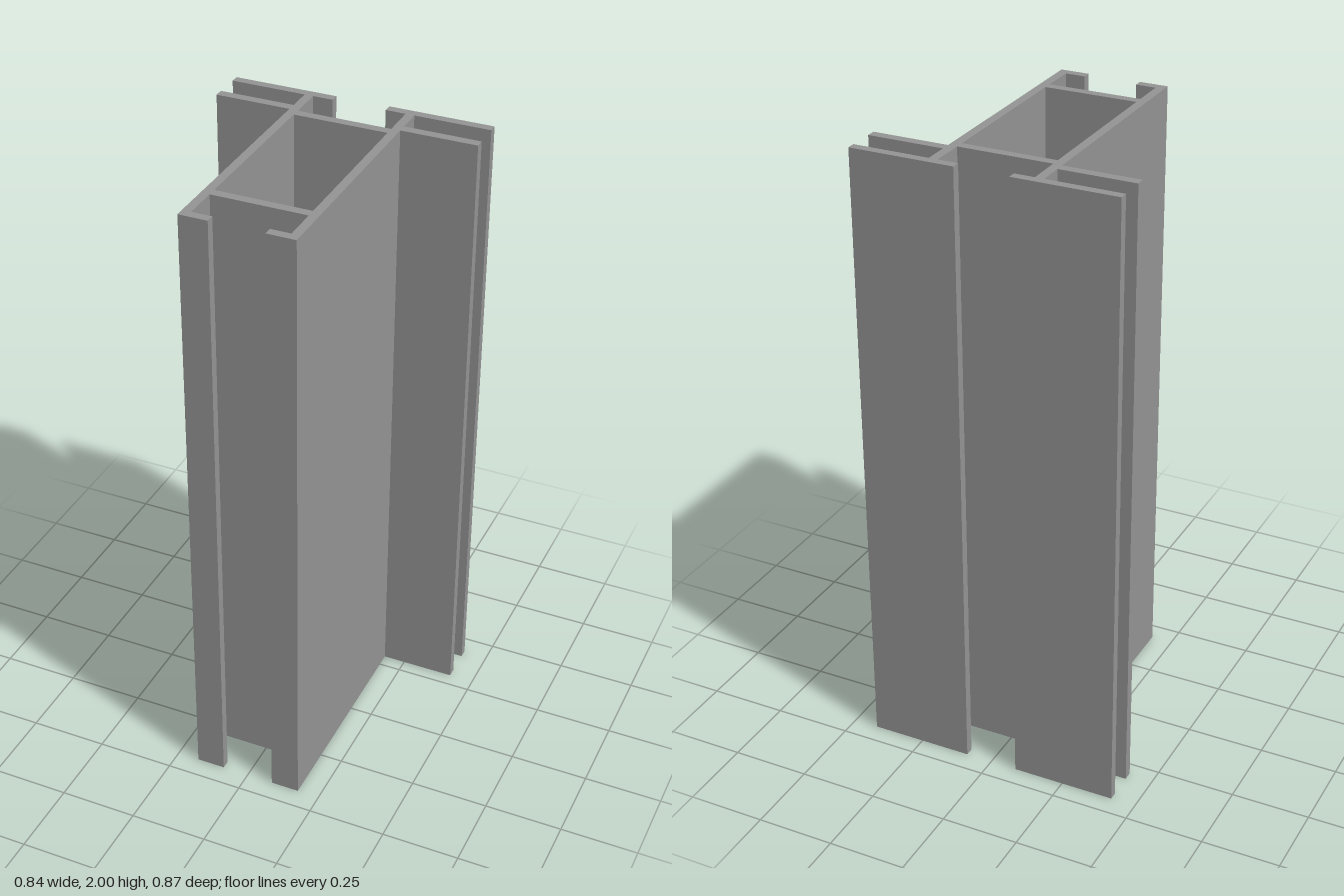
import * as THREE from 'three';

const HEIGHT = 2;

// Right half of the profile outline as [x, -z], from the front web round to the back web
const HALF = [
  [0.15, -0.294], [0.15, -0.406], [0.086, -0.406], [0.086, -0.434], // front lip
  [0.178, -0.434], [0.178, 0.295],                                  // side wall
  [0.42, 0.295], [0.42, 0.325], [0.178, 0.325],                     // inner fin
  [0.178, 0.406], [0.42, 0.406], [0.42, 0.434],                     // outer fin
  [0.086, 0.434], [0.086, 0.406], [0.15, 0.406], [0.15, 0.294],     // back lip
];

export function createModel() {
  const group = new THREE.Group();
  group.name = 'extrudedFrameProfile';

  // Mirror the half outline to close the section
  const mirrored = HALF.map(([x, y]) => [-x, y]).reverse();
  const shape = new THREE.Shape([...HALF, ...mirrored].map(([x, y]) => new THREE.Vector2(x, y)));

  // Central hollow chamber between the two webs
  const chamber = [[-0.15, -0.265], [-0.15, 0.265], [0.15, 0.265], [0.15, -0.265]];
  shape.holes.push(new THREE.Path(chamber.map(([x, y]) => new THREE.Vector2(x, y))));

  // Extrude and stand upright on the ground
  const geometry = new THREE.ExtrudeGeometry(shape, { depth: HEIGHT, bevelEnabled: false });
  geometry.rotateX(-Math.PI / 2);

  const profile = new THREE.Mesh(geometry, new THREE.MeshStandardMaterial({ color: 0x949494 }));
  profile.name = 'frameProfile';
  group.add(profile);
  return group;
}
